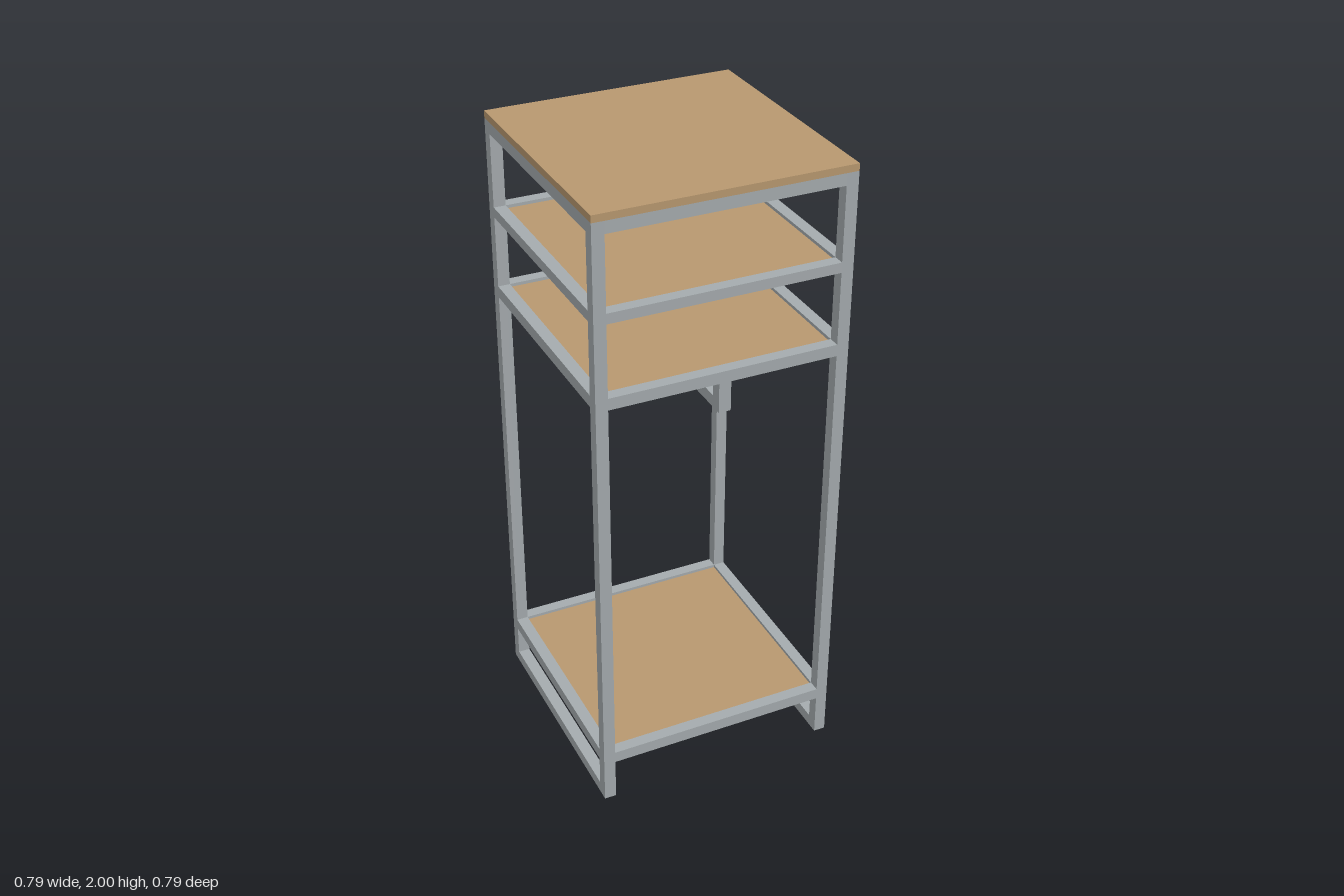
import * as THREE from 'three';

export function createModel() {
  const model = new THREE.Group();
  const steel = new THREE.MeshStandardMaterial({ color: 0xa5abae });
  steel.name = 'grey steel';
  const wood = new THREE.MeshStandardMaterial({ color: 0xb8986f });
  wood.name = 'light wood';

  const half = 0.393;           // half width of the stand
  const tube = 0.0375;          // square tube size
  const mid = half - tube / 2;  // tube centre line
  const span = 2 * (half - tube);
  const slabBase = 1.978;

  // Box given by its bottom height
  function box(name, material, w, h, d, x, bottom, z, parent = model) {
    const mesh = new THREE.Mesh(new THREE.BoxGeometry(w, h, d), material);
    mesh.name = name;
    mesh.position.set(x, bottom + h / 2, z);
    parent.add(mesh);
  }

  // Corner legs
  for (const x of [-mid, mid]) {
    for (const z of [-mid, mid]) box('leg', steel, tube, slabBase, tube, x, 0, z);
  }

  // Rail frames, bottom and top heights
  const frames = [
    ['lowerShelf', 0.139, 0.177],
    ['middleShelf', 1.414, 1.451],
    ['upperShelf', 1.679, 1.711],
    ['topFrame', 1.941, slabBase],
  ];
  for (const [name, bottom, top] of frames) {
    const frame = new THREE.Group();
    frame.name = name;
    model.add(frame);
    const h = top - bottom;
    for (const s of [-mid, mid]) {
      box('crossRail', steel, span, h, tube, 0, bottom, s, frame);
      box('sideRail', steel, tube, h, span, s, bottom, 0, frame);
    }
    // Recessed wooden panel
    if (name !== 'topFrame') box('shelfPanel', wood, span, 0.016, span, 0, top - 0.026, 0, frame);
  }

  // Floor runners on both sides
  for (const x of [-mid, mid]) box('floorRunner', steel, tube, tube, span, x, 0, 0);

  // Hanging rail below the middle shelf
  const hanger = new THREE.Group();
  hanger.name = 'hangingRail';
  model.add(hanger);
  box('hangerBar', steel, tube, tube, span, 0, 1.32, 0, hanger);
  for (const z of [-mid, mid]) box('hangerDrop', steel, tube, 0.094, tube, 0, 1.32, z, hanger);

  // Wooden top
  box('topSlab', wood, 2 * half, 2 - slabBase, 2 * half, 0, slabBase, 0);
  return model;
}
